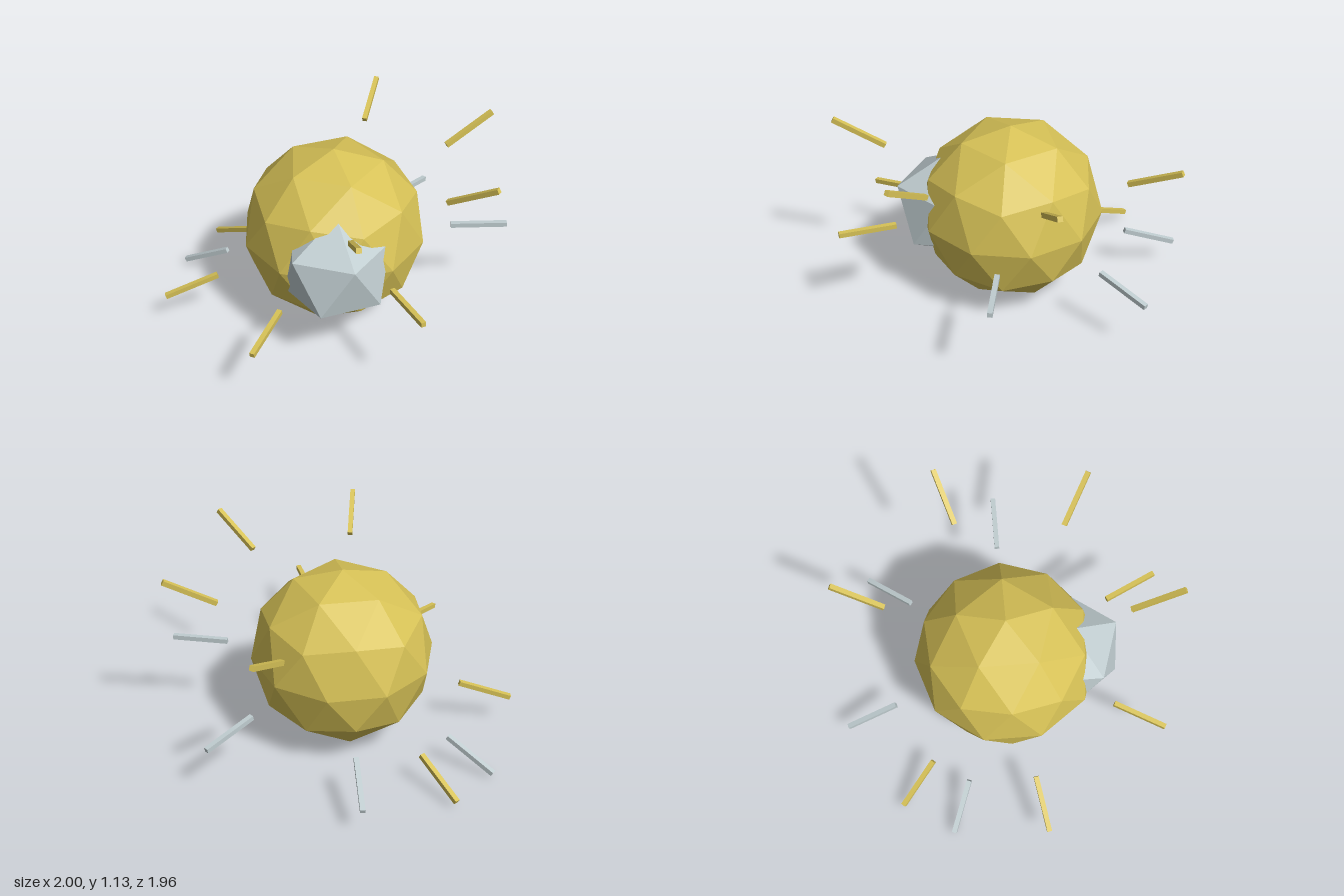
import * as THREE from 'three';

const CENTRE = new THREE.Vector3(-0.01, 0.53, -0.01);
const RAY_DISTANCE = 0.845;

// Faceted icosphere with a vertex at each pole
function facetedBall(radius, detail) {
  const geo = new THREE.IcosahedronGeometry(radius, detail);
  geo.rotateX(-Math.atan((1 + Math.sqrt(5)) / 2));
  geo.rotateY(Math.PI / 2);
  geo.computeVertexNormals(); // unshared corners, so flat facets
  return geo;
}

export function createModel() {
  const group = new THREE.Group();
  group.name = 'rayedBall';

  const gold = new THREE.MeshStandardMaterial({ color: 0xd6c156, flatShading: true });
  gold.name = 'gold';
  const silver = new THREE.MeshStandardMaterial({ color: 0xc0cdd0, flatShading: true });
  silver.name = 'silver';

  function add(name, geo, material, position) {
    const mesh = new THREE.Mesh(geo, material);
    mesh.name = name;
    mesh.position.copy(position);
    group.add(mesh);
    return mesh;
  }

  // Large ball and the smaller one sunk into its front
  add('core', facetedBall(0.53, 1), gold, CENTRE);
  add('frontKnob', facetedBall(0.33, 0), silver, CENTRE.clone().add(new THREE.Vector3(0, 0, 0.36)));

  // Floating rays pointing away from the core: [degrees from +x towards +z, height, material]
  const rays = [
    [0, 0, silver],
    [32.4, 0.5, gold],
    [64.7, 0.02, gold],
    [84.9, 0.48, gold],
    [117.1, -0.145, gold],
    [169.8, -0.29, gold],
    [202.4, -0.42, silver],
    [222.4, -0.41, gold],
    [255.1, -0.304, silver],
    [287.7, 0.396, gold],
    [307.7, -0.163, silver],
    [340.1, 0.476, gold],
  ];
  const rayGeo = new THREE.BoxGeometry(0.326, 0.028, 0.028);
  rays.forEach(([degrees, height, material], i) => {
    const yaw = THREE.MathUtils.degToRad(degrees);
    const offset = new THREE.Vector3(RAY_DISTANCE * Math.cos(yaw), height, RAY_DISTANCE * Math.sin(yaw));
    const ray = add(`ray${i + 1}`, rayGeo, material, CENTRE.clone().add(offset));
    ray.rotation.set(0, -yaw, Math.atan2(height, RAY_DISTANCE), 'YZX');
  });

  return group;
}
